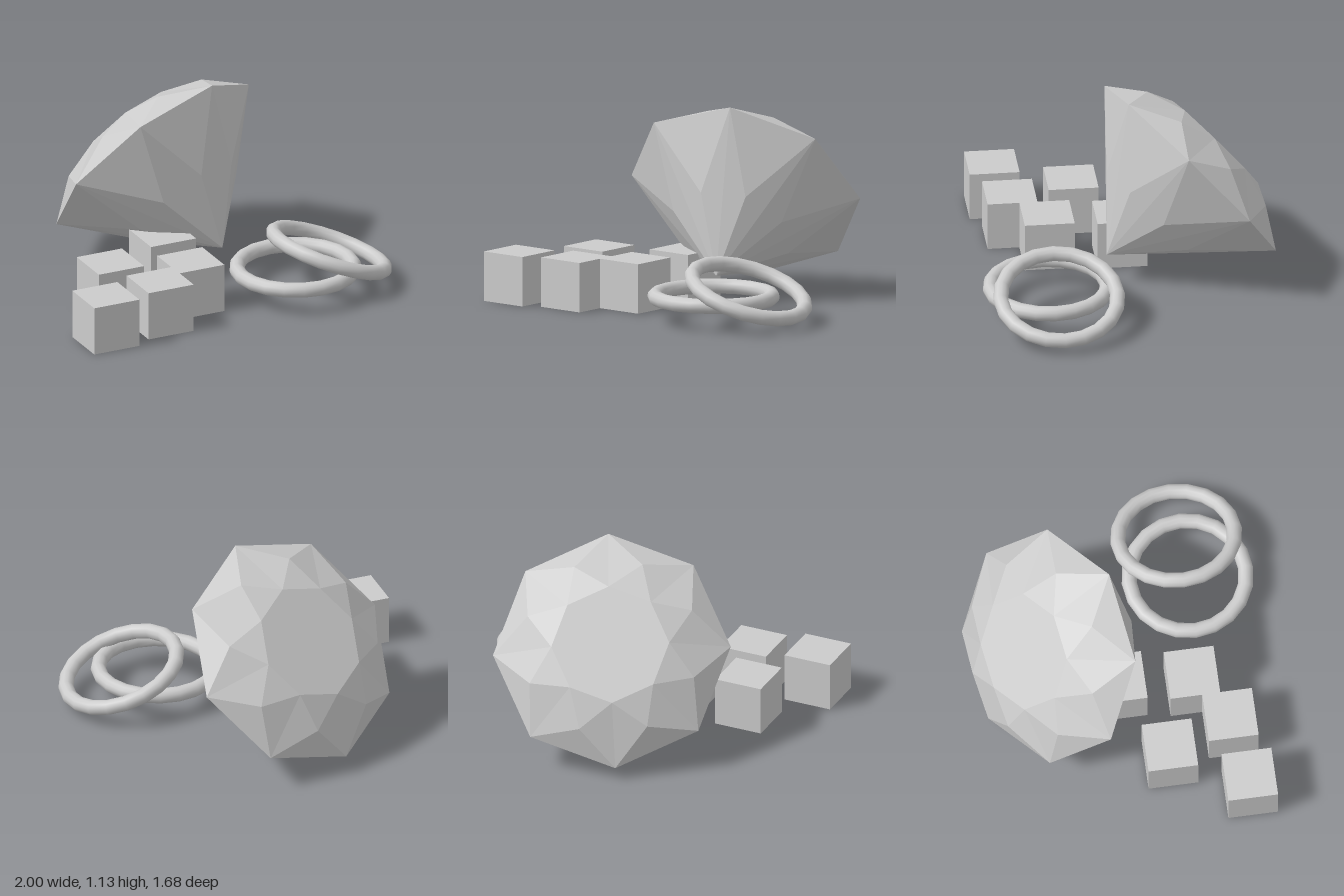
import * as THREE from 'three';

const grey = () => new THREE.MeshStandardMaterial({ color: 0xcccccc });

// Brilliant-cut stone: axis along local y, girdle at y = 0, eight-fold symmetry
function gemGeometry() {
  const N = 8;
  const ring = (radius, height, offset) => (i) => {
    const a = ((i + offset) / N) * Math.PI * 2;
    return [radius * Math.cos(a), height, -radius * Math.sin(a)];
  };
  const girdle = ring(0.671, 0, 0);
  const crownMid = ring(0.502, 0.136, 0.5);
  const table = ring(0.333, 0.205, 0);
  const pavilionMid = ring(0.343, -0.347, 0.5);
  const tip = [0, -0.678, 0];
  const top = [0, 0.205, 0];

  const points = [];
  const tri = (a, b, c) => points.push(...a, ...b, ...c);
  for (let i = 0; i < N; i++) {
    // crown: upper halves, kites, stars and flat table
    tri(girdle(i), girdle(i + 1), crownMid(i));
    tri(girdle(i), crownMid(i), table(i));
    tri(girdle(i), table(i), crownMid(i - 1));
    tri(table(i), crownMid(i), table(i + 1));
    tri(table(i), table(i + 1), top);
    // pavilion: lower halves and long kites down to the point
    tri(girdle(i + 1), girdle(i), pavilionMid(i));
    tri(girdle(i), tip, pavilionMid(i));
    tri(girdle(i), pavilionMid(i - 1), tip);
  }
  const geometry = new THREE.BufferGeometry();
  geometry.setAttribute('position', new THREE.Float32BufferAttribute(points, 3));
  geometry.computeVertexNormals();
  return geometry;
}

export function createModel() {
  const model = new THREE.Group();
  const add = (name, geometry, material, x, y, z) => {
    const mesh = new THREE.Mesh(geometry, material);
    mesh.name = name;
    mesh.position.set(x, y, z);
    model.add(mesh);
    return mesh;
  };

  // Tilted gem, balanced on its point
  const facets = grey();
  facets.flatShading = true;
  const gem = add('gem', gemGeometry(), facets, -0.06, 0.6, -0.395);
  const axis = new THREE.Vector3(-0.288, 0.619, -0.73).normalize();
  const side = new THREE.Vector3(0.283, 0.79, 0.544);
  side.addScaledVector(axis, -side.dot(axis)).normalize();
  const third = new THREE.Vector3().crossVectors(side, axis);
  gem.quaternion.setFromRotationMatrix(new THREE.Matrix4().makeBasis(side, axis, third));

  // Two rings: one flat, one leaning over it
  const ringGeometry = new THREE.TorusGeometry(0.331, 0.043, 12, 20).rotateX(Math.PI / 2);
  add('flatRing', ringGeometry, grey(), 0.417, 0.145, 0.46);
  add('leaningRing', ringGeometry, grey(), 0.645, 0.195, 0.427).rotation.z = -0.358;

  // Loose cubes, given by their centres on the ground
  const size = 0.283;
  const cubeGeometry = new THREE.BoxGeometry(size, size, size);
  const cubeCentres = [[-0.86, 0.64], [-0.49, 0.58], [-0.21, 0.4], [-0.625, 0.218], [-0.186, -0.01]];
  cubeCentres.forEach(([x, z], i) => add(`cube${i + 1}`, cubeGeometry, grey(), x, size / 2, z));

  return model;
}
